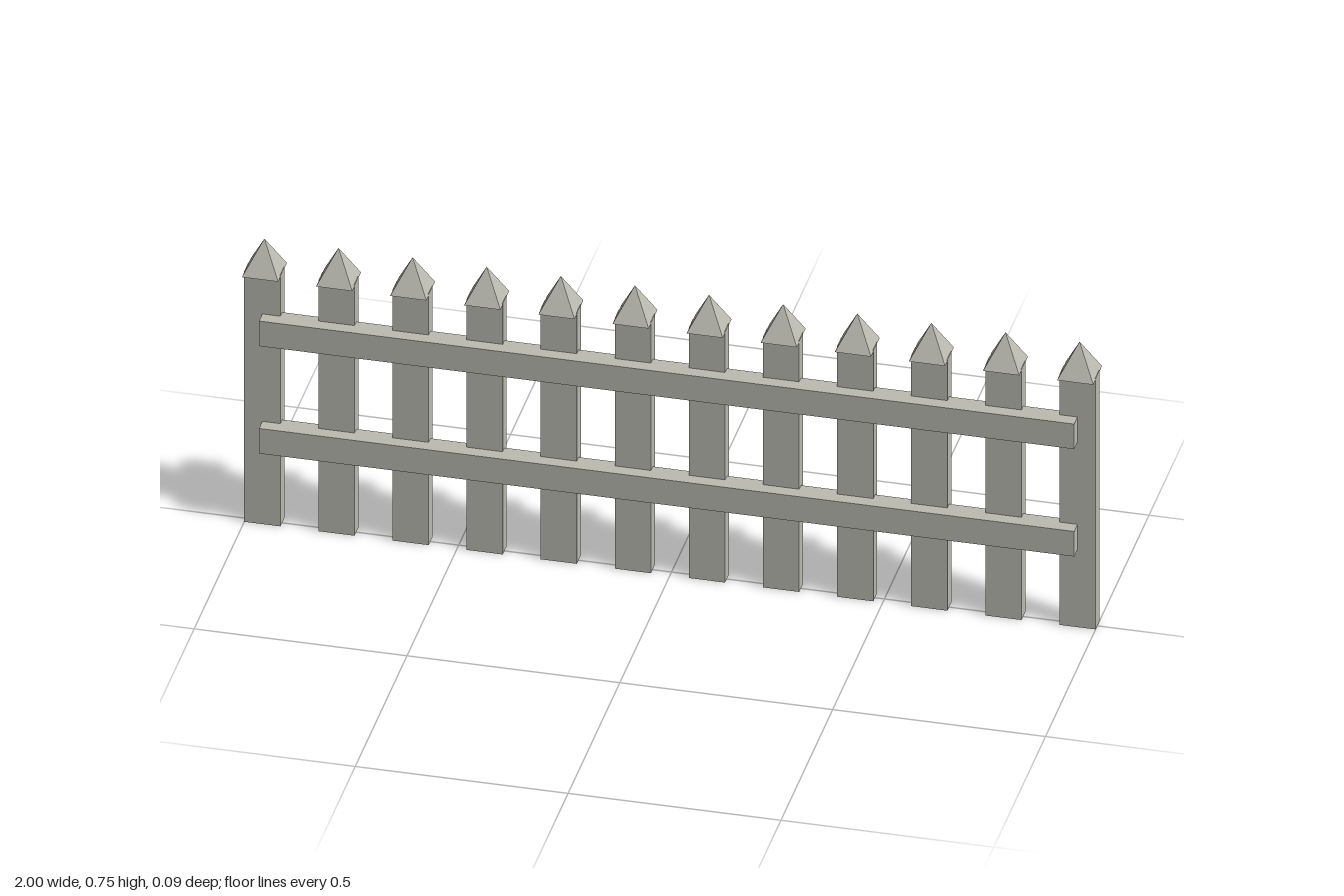
import * as THREE from 'three';

export function createModel() {
  const fence = new THREE.Group();
  fence.name = 'picketFence';
  const paleWood = new THREE.MeshStandardMaterial({ color: 0xbcbcb2, flatShading: true });
  paleWood.name = 'paleWood';

  const add = (name, geometry, x, y, z, parent = fence) => {
    const mesh = new THREE.Mesh(geometry, paleWood);
    mesh.name = name;
    mesh.position.set(x, y, z);
    parent.add(mesh);
    return mesh;
  };

  const count = 12, width = 0.085, postHeight = 0.67, capHeight = 0.084;
  const reach = 1 - width / 2; // centre of the end pickets

  // Pickets: flat board with a square pyramid cap
  const board = new THREE.BoxGeometry(width, postHeight, 0.038);
  const cap = new THREE.ConeGeometry(width / Math.SQRT2, capHeight, 4, 1).rotateY(Math.PI / 4);
  for (let i = 0; i < count; i++) {
    const picket = new THREE.Group();
    picket.name = 'picket' + (i + 1);
    picket.position.x = -reach + (2 * reach * i) / (count - 1);
    add('board', board, 0, postHeight / 2, -0.003, picket);
    add('cap', cap, 0, 0.667 + capHeight / 2, -0.004, picket);
    fence.add(picket);
  }

  // Two horizontal rails let into the front of the pickets
  const rail = new THREE.BoxGeometry(2 * reach, 0.067, 0.05);
  add('lowerRail', rail, 0, 0.241, 0.023);
  add('upperRail', rail, 0, 0.528, 0.023);

  return fence;
}
